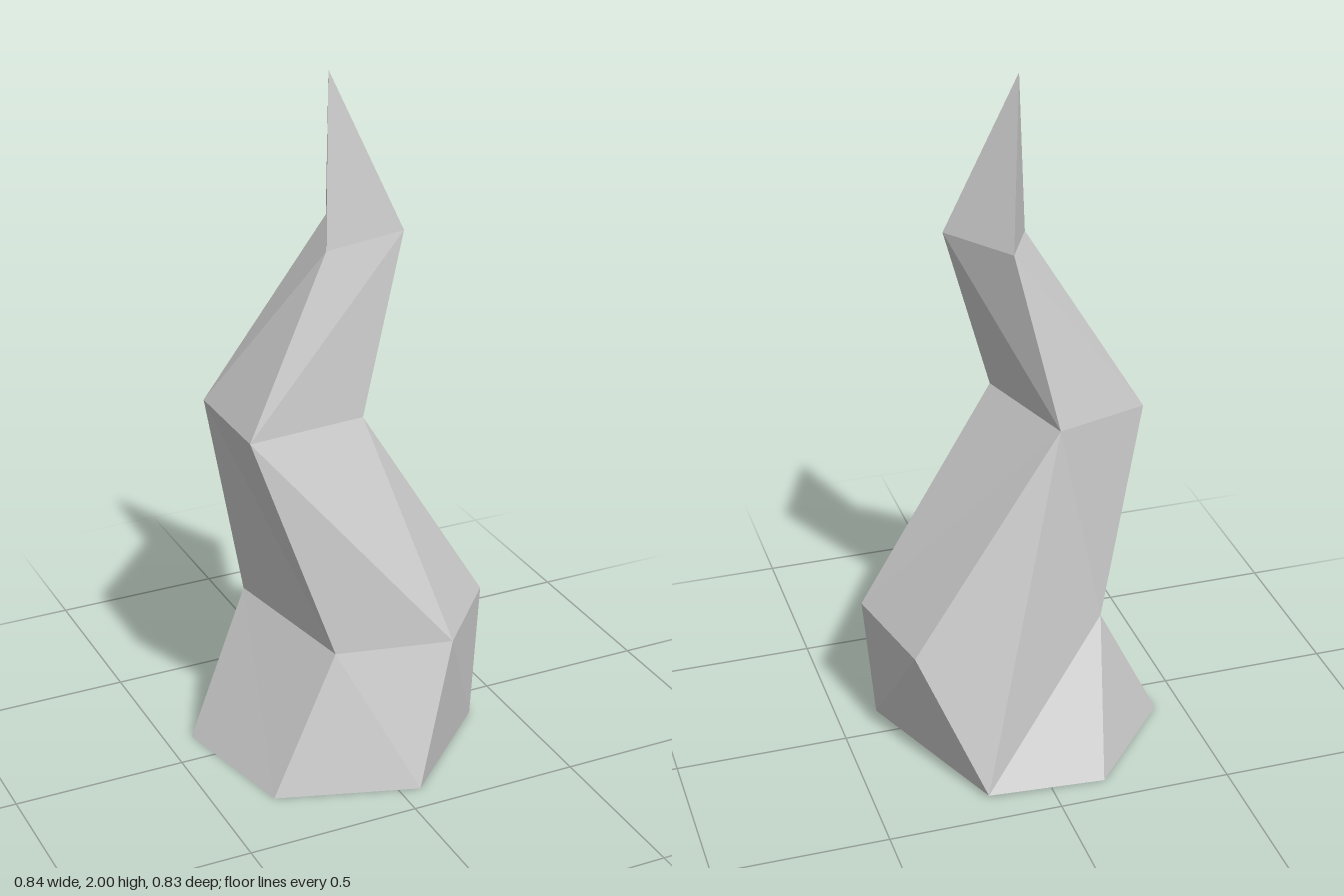
import * as THREE from 'three';

// Cross-sections from the ground up; corners run left, front, right, back.
const foot = [[0, 0, 0]];
const base = [[-0.42, 0, -0.12], [-0.335, 0, 0.285], [0.06, 0, 0.415], [0.38, 0, 0.11], [0.185, 0.01, -0.405], [-0.155, 0, -0.42]];
// The last corner of the knee is shared with the base: the back facet runs down to the ground.
const knee = [[-0.215, 0.41, -0.195], [-0.13, 0.4, 0.255], [0.2, 0.4, 0.33], [0.42, 0.4, 0.085], [0.35, 0.4, -0.245], base[4]];
const bend = [[-0.34, 1.05, -0.16], [-0.34, 1.05, 0.165], [0.02, 1.04, 0.115], [-0.08, 1.04, -0.22]];
const neck = [[-0.065, 1.52, 0.06], [0.168, 1.545, 0.06], [0.03, 1.545, -0.145]];
const tip = [[-0.027, 2, -0.005]];

// Joins two loops with triangles: L steps along the lower loop, U along the upper.
function band(out, lower, upper, steps) {
  let i = 0, j = 0;
  for (const step of steps) {
    const a = lower[i % lower.length], b = upper[j % upper.length];
    const c = step === 'L' ? lower[++i % lower.length] : upper[++j % upper.length];
    if (a !== b && b !== c && a !== c) out.push(...a, ...c, ...b);
  }
}

export function createModel() {
  const points = [];
  band(points, foot, base, 'UUUUUU');
  band(points, base, knee, 'LULULUULUULL');
  band(points, knee, bend, 'LULULULLLU');
  band(points, bend, neck, 'LULLULU');
  band(points, neck, tip, 'LLL');

  const geometry = new THREE.BufferGeometry();
  geometry.setAttribute('position', new THREE.Float32BufferAttribute(points, 3));
  geometry.computeVertexNormals();

  const spire = new THREE.Mesh(geometry, new THREE.MeshStandardMaterial({ color: 0xcccccc, flatShading: true }));
  spire.name = 'twistedSpire';
  const group = new THREE.Group();
  group.name = 'crookedSpike';
  group.add(spire);
  return group;
}
